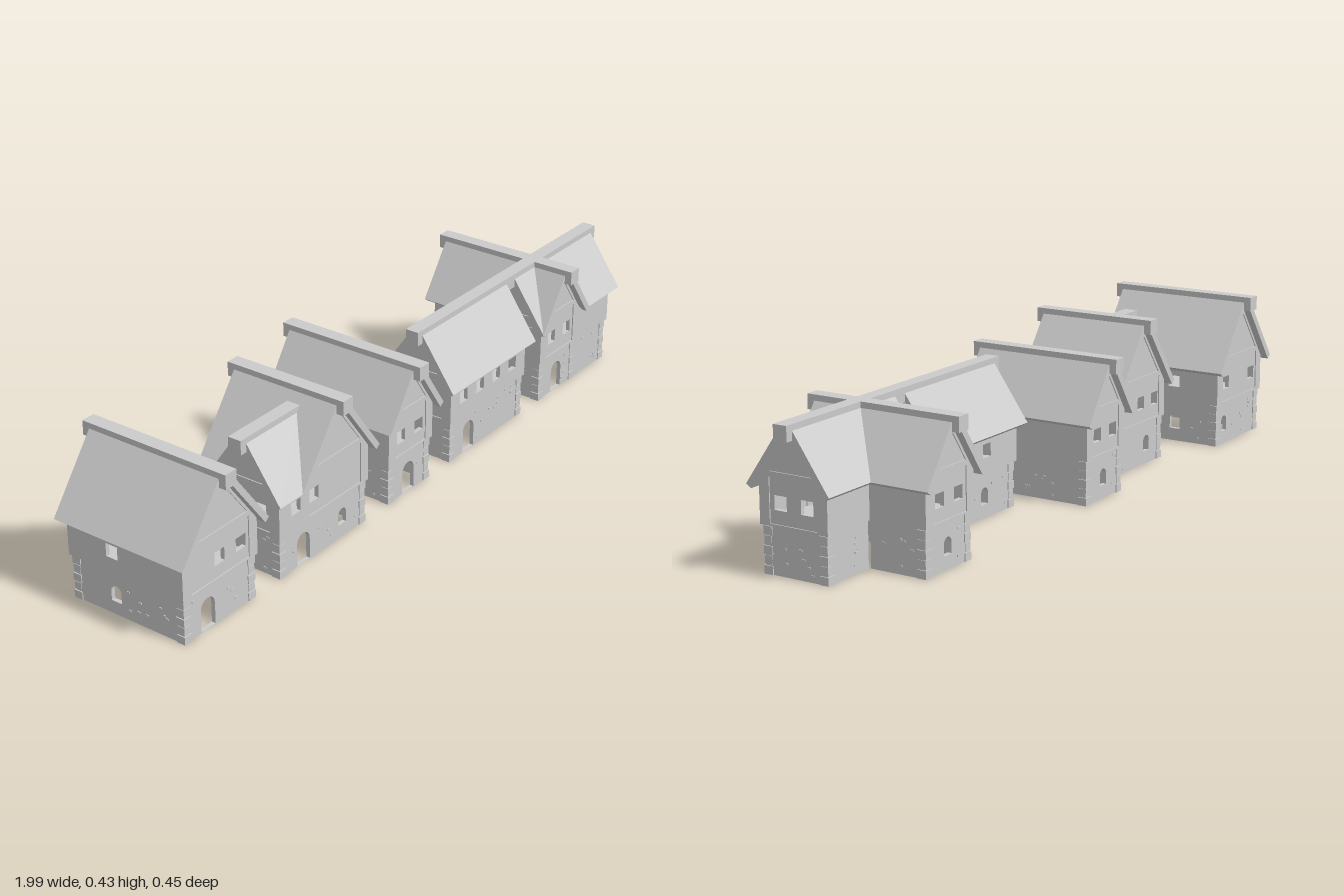
import * as THREE from 'three';

const FLOOR = 0.125, EAVE = 0.228, T = 0.012, STEP = 0.008;
const mat = new THREE.MeshStandardMaterial({ color: 0xcccccc, flatShading: true, side: THREE.DoubleSide });

let seed = 7;
const rnd = () => (seed = (seed * 16807) % 2147483647) / 2147483647;

function add(parent, name, geo, x = 0, y = 0, z = 0) {
  const m = new THREE.Mesh(geo, mat);
  m.name = name;
  m.position.set(x, y, z);
  parent.add(m);
  return m;
}
const poly = pts => pts.map(p => new THREE.Vector2(p[0], p[1]));
const extrude = (shape, depth) => new THREE.ExtrudeGeometry(shape, { depth, bevelEnabled: false, curveSegments: 6 });

// Square window opening
function windowHole(x) {
  const h = 0.0185, y = 0.185;
  return new THREE.Path(poly([[x - h, y - h], [x - h, y + h], [x + h, y + h], [x + h, y - h]]));
}
// Round-topped opening, for doors and small ground floor windows
function archHole(x, r, y0, top) {
  const p = new THREE.Path();
  p.moveTo(x - r, y0);
  p.lineTo(x - r, top - r);
  p.absarc(x, top - r, r, Math.PI, 0, true);
  p.lineTo(x + r, y0);
  p.closePath();
  return p;
}
const door = x => ({ x, path: archHole(x, 0.026, 0.001, 0.088) });
const slit = x => ({ x, path: archHole(x, 0.0165, 0.037, 0.083) });

// Upright wall; its outer surface lies at distance d
function wall(face, name, pts, holes, d, t = T) {
  const s = new THREE.Shape(poly(pts));
  s.holes.push(...holes);
  add(face, name, extrude(s, t), 0, 0, d - t);
}

// Stone ground floor wall with a few raised stones
function stoneWall(face, a, b, openings, d) {
  wall(face, 'stoneWall', [[a, 0], [b, 0], [b, FLOOR], [a, FLOOR]], openings.map(o => o.path), d);
  const n = Math.round((b - a) * 32);
  for (let i = 0; i < n; i++) {
    const x = a + 0.035 + rnd() * (b - a - 0.07), y = 0.012 + rnd() * 0.1;
    if (openings.some(o => Math.abs(o.x - x) < 0.034)) continue;
    add(face, 'raisedStone', new THREE.BoxGeometry(0.009, 0.005, 0.004), x, y, d);
  }
}

// Corner stones, alternately long and short
function quoins(face, x, d) {
  for (let i = 0; i < 5; i++) {
    const a = i % 2 ? 0.022 : 0.026, out = i % 2 ? 0.0015 : 0.003;
    add(face, 'cornerStone', new THREE.BoxGeometry(a, 0.022, a),
      x + Math.sign(x) * (out - a / 2), i * 0.025 + 0.011, d + out - a / 2);
  }
}

// One wing: ridge along local z, gables at the ends v0 and v1.
// ends: front/back, sides: left(+x)/right(-x); up = window places, low = openings
function wing(house, name, o) {
  const g = new THREE.Group();
  g.name = name;
  g.position.set(o.at[0], 0, o.at[1]);
  g.rotation.y = o.rot || 0;
  house.add(g);
  const { hw, top, v0, v1 } = o, lw = hw - STEP, rw = hw + 0.022;
  const meet = top - 0.016, slope = (meet - EAVE) / (rw - 0.02);
  const len = Math.hypot(1, slope), th = 0.0175;
  const apex = meet + 0.02 * slope - th * len;
  const wallTop = apex - slope * hw;

  const face = (n, angle) => {
    const f = new THREE.Group();
    f.name = n;
    f.rotation.y = angle;
    g.add(f);
    return f;
  };

  // Gable ends with timber frame
  for (const [key, angle, d] of [['front', 0, v1], ['back', Math.PI, -v0]]) {
    const e = o[key];
    if (!e) continue;
    const f = face(key + 'End', angle);
    const outline = [[-hw, FLOOR], [hw, FLOOR], [hw, wallTop], [0, apex], [-hw, wallTop]];
    wall(f, 'gableWall', outline, (e.up || []).map(windowHole), d - 0.003);
    const p = hw - 0.03, tip = apex - 0.013, b = (tip - 0.262) / slope;
    wall(f, 'timberFrame', outline, [
      new THREE.Path(poly([[-p, 0.128], [-p, 0.248], [p, 0.248], [p, 0.128]])),
      new THREE.Path(poly([[-b, 0.262], [0, tip], [b, 0.262]])),
    ], d, 0.004);
    if (e.low) {
      const [a, c] = e.lowRange || [-lw, lw];
      stoneWall(f, a, c, e.low, d - STEP);
      quoins(f, a, d - STEP);
      quoins(f, c, d - STEP);
    }
  }

  // Side walls under the eaves
  for (const [key, angle, s] of [['left', Math.PI / 2, -1], ['right', -Math.PI / 2, 1]]) {
    const e = o[key];
    if (!e) continue;
    const f = face(key + 'Side', angle);
    const [a, b] = (e.range || [v0, v1]).map(v => v * s).sort((m, n) => m - n);
    wall(f, 'upperWall', [[a, FLOOR], [b, FLOOR], [b, wallTop], [a, wallTop]], (e.up || []).map(windowHole), hw);
    if (e.low) stoneWall(f, a + STEP, b - STEP, e.low, lw);
  }

  // Upper floor
  if (v1 - v0 > 0.01) add(g, 'upperFloor', new THREE.BoxGeometry(hw * 2, 0.006, v1 - v0), 0, FLOOR + 0.003, (v0 + v1) / 2);

  // Roof, mitred to a valley where it meets another roof
  const ex = rw - th * slope / len, ey = EAVE - th / len;
  const r0 = o.valley ? 0 : v0 - 0.021, r1 = v1 + 0.021;
  const roof = extrude(new THREE.Shape(poly([[-rw, EAVE], [-ex, ey], [0, apex], [ex, ey], [rw, EAVE], [0.02, meet], [-0.02, meet]])), r1 - r0);
  if (o.valley) {
    const p = roof.attributes.position;
    for (let i = 0; i < p.count; i++)
      if (p.getZ(i) < 1e-5) p.setZ(i, Math.min(r1, o.valley[0] + o.valley[1] * Math.abs(p.getX(i))));
    roof.computeVertexNormals();
  }
  add(g, 'roof', roof, 0, 0, r0);
  const b0 = o.valley ? o.valley[0] : v0 - 0.042, b1 = v1 + 0.042;
  add(g, 'ridgeBeam', new THREE.BoxGeometry(0.04, 0.04, b1 - b0), 0, top - 0.02, (b0 + b1) / 2);
}

export function createModel() {
  const root = new THREE.Group();
  root.name = 'houseRow';
  const house = n => {
    const h = new THREE.Group();
    h.name = n;
    root.add(h);
    return h;
  };
  const HIGH = 0.433, LOW = 0.393, E = Math.PI / 2, W = -Math.PI / 2;

  // Wide gabled house
  wing(house('wideHouse'), 'mainWing', {
    at: [-0.837, 0], hw: 0.139, top: HIGH, v0: -0.185, v1: 0.185,
    front: { up: [0, 0.08], low: [door(-0.043)] },
    back: { up: [-0.08, 0.08], low: [slit(-0.08)] },
    left: { up: [0.04], low: [slit(0.04)] },
    right: { up: [-0.04], low: [slit(-0.04)] },
  });

  // House with a lower side wing
  const angled = house('angledHouse');
  wing(angled, 'mainWing', {
    at: [-0.3825, 0.04], hw: 0.139, top: HIGH, v0: -0.144, v1: 0.145,
    front: { up: [-0.0855], low: [door(-0.1245), slit(0.0375)], lowRange: [-0.221, 0.131] },
    back: { up: [0.0095, 0.0855], low: [slit(0.05)] },
    left: { up: [0], low: [slit(0)] },
    right: { range: [-0.144, -0.055], low: [] },
  });
  wing(angled, 'sideWing', {
    at: [-0.3825, 0.083], rot: W, hw: 0.102, top: LOW, v0: 0.13, v1: 0.229, valley: [0.029, 1.07],
    front: { up: [-0.04, 0.04], low: [] },
    left: { up: [-0.1625] },
    right: { up: [0.1625], low: [] },
  });

  // Narrow house
  wing(house('narrowHouse'), 'mainWing', {
    at: [-0.053, 0], hw: 0.099, top: LOW, v0: -0.185, v1: 0.185,
    front: { up: [-0.04, 0.04], low: [door(0)] },
    back: { up: [-0.04, 0.04], low: [slit(0)] },
    left: { low: [] },
    right: { low: [] },
  });

  // Long house with its eaves to the front
  wing(house('longHouse'), 'mainWing', {
    at: [0.3175, 0.083], rot: E, hw: 0.102, top: LOW, v0: -0.184, v1: 0.184,
    front: { low: [] },
    back: { low: [] },
    right: { up: [-0.122, -0.042, 0.038, 0.119], low: [door(-0.084)] },
    left: { up: [-0.119, -0.038, 0.042], low: [slit(0.042)] },
  });

  // House with four crossing gables
  const cross = house('crossHouse'), arm = { at: [0.687, 0.083], hw: 0.102, top: LOW, valley: [0, 1] };
  wing(cross, 'frontGable', {
    ...arm, v0: 0.102, v1: 0.102,
    front: { up: [-0.04, 0.04], low: [door(0)] },
  });
  wing(cross, 'backWing', {
    ...arm, rot: Math.PI, v0: -0.102, v1: 0.268,
    front: { up: [-0.04, 0.04], low: [slit(0)] },
    left: { low: [] },
    right: { range: [0.09, 0.268], low: [] },
  });
  wing(cross, 'leftWing', {
    ...arm, rot: E, v0: 0.09, v1: 0.267,
    front: { up: [-0.04, 0.04], low: [] },
    left: { low: [] },
    right: { low: [] },
  });
  wing(cross, 'rightGable', { ...arm, rot: W, v0: 0.102, v1: 0.102, front: {} });

  return root;
}
